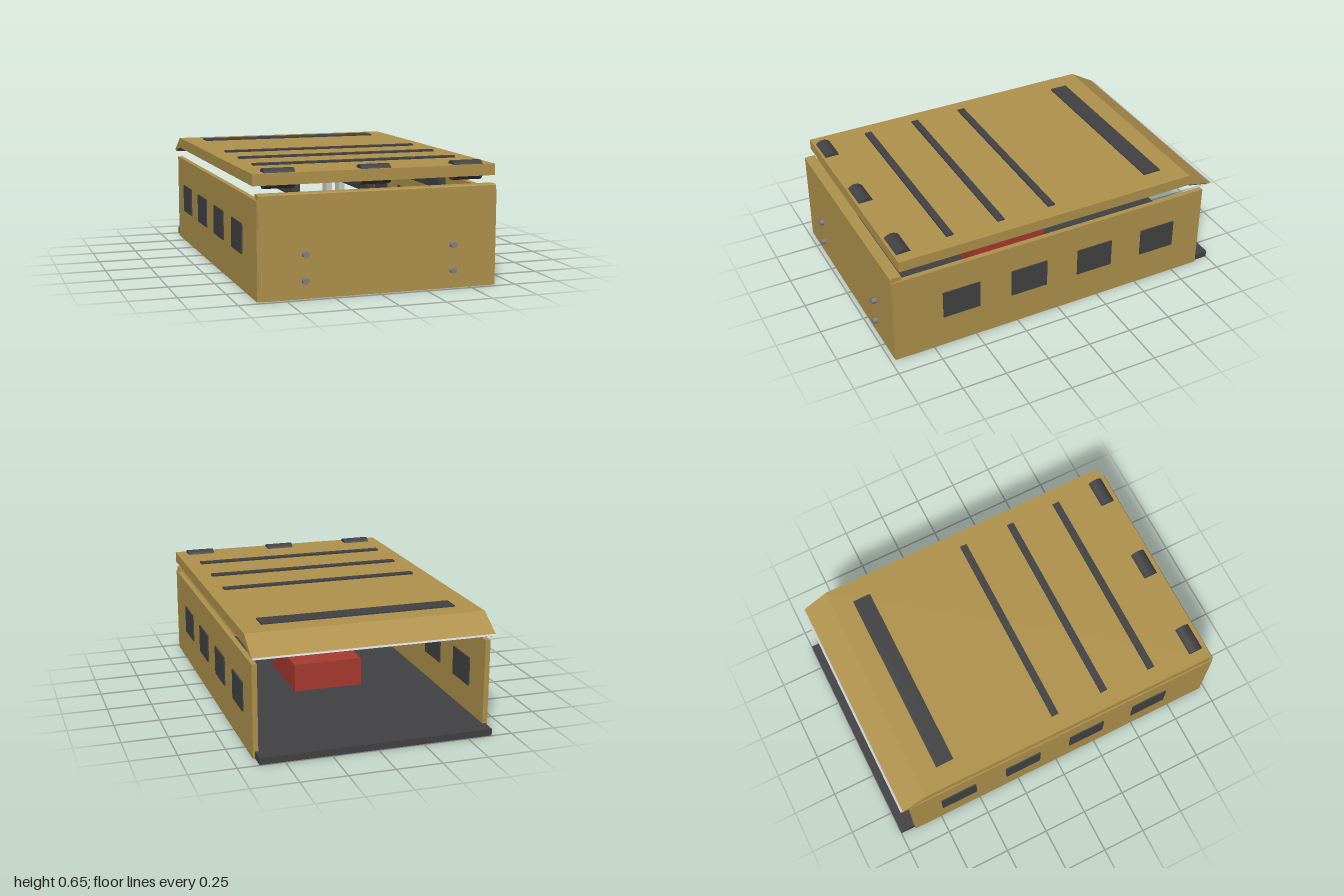
import * as THREE from 'three';

const paint = (color) => new THREE.MeshStandardMaterial({ color });
const olive = paint(0xb0924c);
const dark = paint(0x424244);
const steel = paint(0xcccccc);
const bolt = paint(0x808284);
const red = paint(0xa83a30);

export function createModel() {
  const model = new THREE.Group();

  const add = (name, geometry, material, parent = model) => {
    const mesh = new THREE.Mesh(geometry, material);
    mesh.name = name;
    parent.add(mesh);
    return mesh;
  };
  // Box given by its limits on each axis
  const box = (name, [x0, x1], [y0, y1], [z0, z1], material, parent) => {
    const mesh = add(name, new THREE.BoxGeometry(x1 - x0, y1 - y0, z1 - z0), material, parent);
    mesh.position.set((x0 + x1) / 2, (y0 + y1) / 2, (z0 + z1) / 2);
    return mesh;
  };
  // Side profile of [z, y] points, swept across x from -half to half
  const sweep = (name, points, half, material, parent) => {
    const shape = new THREE.Shape(points.map(([z, y]) => new THREE.Vector2(-z, y)));
    const geometry = new THREE.ExtrudeGeometry(shape, { depth: half * 2, bevelEnabled: false });
    geometry.translate(0, 0, -half).rotateY(Math.PI / 2);
    return add(name, geometry, material, parent);
  };

  // Floor, standing out at the open back
  box('floor', [-0.635, 0.635], [0.002, 0.04], [-1, 0.95], dark);

  // Front plate with a lip folded back along its top
  sweep('frontPlate', [
    [0.975, 0], [0.975, 0.53], [0.97, 0.535], [0.915, 0.535],
    [0.915, 0.51], [0.95, 0.51], [0.95, 0],
  ], 0.64, olive);

  // Side walls with dark window panels
  for (const side of [-1, 1]) {
    const wall = new THREE.Group();
    wall.name = side > 0 ? 'leftWall' : 'rightWall';
    model.add(wall);
    const span = (a, b) => (side > 0 ? [a, b] : [-b, -a]);
    box('wallPanel', span(0.618, 0.646), [0, 0.507], [-0.915, 0.972], olive, wall);
    for (const z of [0.585, 0.182, -0.222, -0.625]) {
      box('window', span(0.611, 0.653), [0.19, 0.35], [z - 0.107, z + 0.107], dark, wall);
    }
  }

  // Hexagonal bolts on the front plate
  for (const x of [-0.4, 0.4]) {
    for (const y of [0.095, 0.23]) {
      const geometry = new THREE.CylinderGeometry(0.018, 0.018, 0.03, 6).rotateX(Math.PI / 2);
      add('frontBolt', geometry, bolt).position.set(x, y, 0.985);
    }
  }

  // Lid with its back edge bent down
  const lid = new THREE.Group();
  lid.name = 'lid';
  model.add(lid);
  sweep('lidPanel', [
    [0.93, 0.575], [0.93, 0.635], [-0.81, 0.635], [-0.955, 0.55], [-0.94, 0.547], [-0.815, 0.575],
  ], 0.655, olive, lid);
  sweep('flapLining', [[-0.815, 0.575], [-0.945, 0.548], [-0.945, 0.54], [-0.815, 0.566]], 0.65, dark, lid);
  sweep('flapEdge', [[-0.935, 0.547], [-0.955, 0.552], [-0.965, 0.545], [-0.945, 0.537]], 0.652, steel, lid);

  // Dark strips on top of the lid
  for (const z of [0.01, 0.31, 0.605]) {
    box('lidStrip', [-0.565, 0.565], [0.6, 0.645], [z - 0.02, z + 0.02], dark, lid);
  }
  box('backStrip', [-0.535, 0.535], [0.6, 0.642], [-0.693, -0.59], dark, lid);

  // Stiffening rails below the lid
  for (const x of [-0.4, 0, 0.4]) {
    box('lidRail', [x - 0.02, x + 0.02], [0.5, 0.577], [-0.745, 0.83], dark, lid);
  }

  // Hinge barrels
  for (const x of [-0.51, 0, 0.51]) {
    const geometry = new THREE.CylinderGeometry(0.052, 0.052, 0.16, 32).rotateZ(Math.PI / 2);
    add('hinge', geometry, dark, lid).position.set(x, 0.603, 0.875);
  }

  // Equipment on the floor, with light brackets reaching up to the middle rail
  box('equipmentCase', [-0.2, 0.2], [0.04, 0.2], [-0.15, 0.3], red);
  for (const x of [-0.037, 0.037]) {
    box('railBracket', [x - 0.016, x + 0.016], [0.2, 0.55], [0.2, 0.27], steel);
  }

  return model;
}
